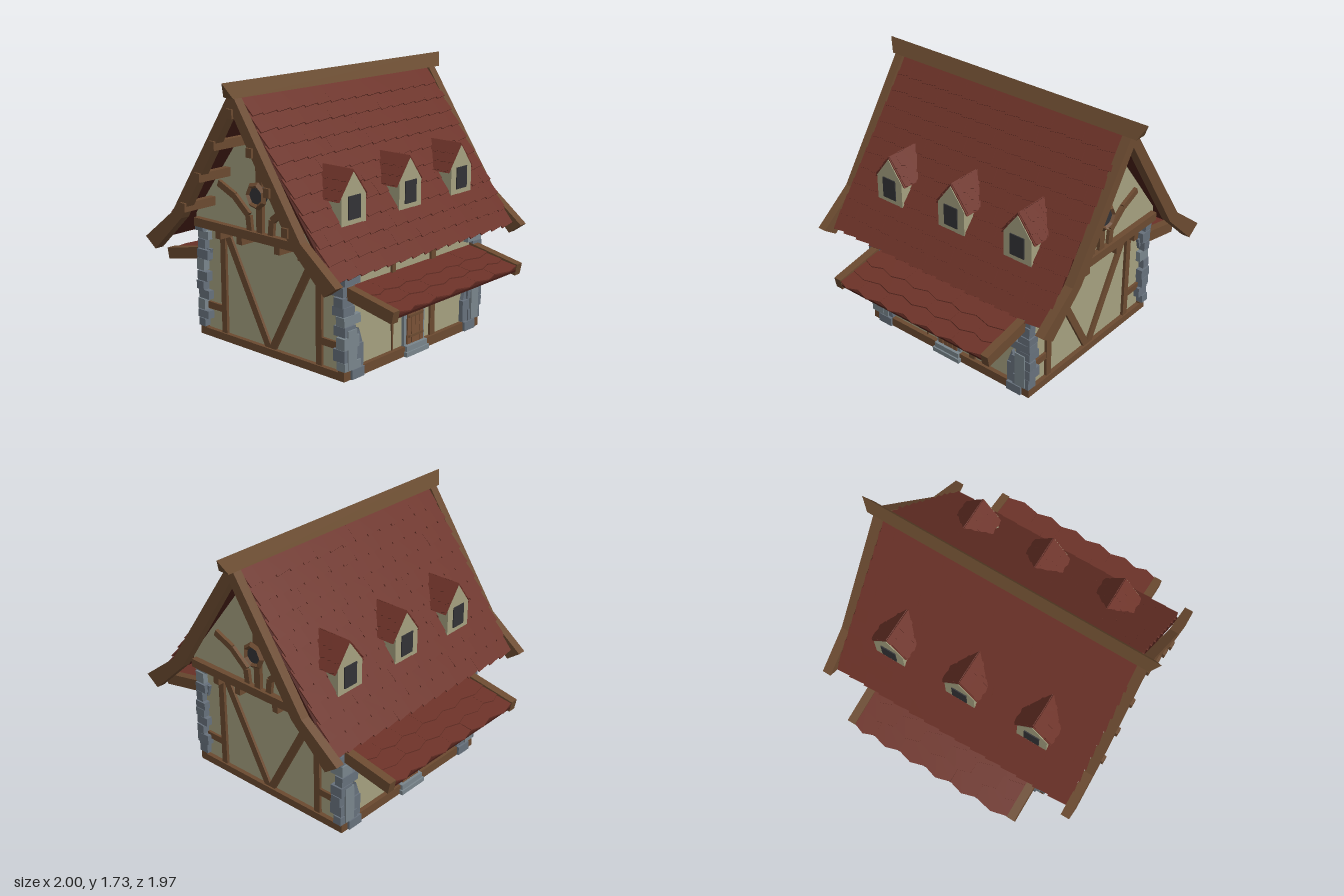
import * as THREE from 'three';
import { mergeGeometries } from 'three/addons/utils/BufferGeometryUtils.js';

const mat = (color) => new THREE.MeshStandardMaterial({ color, flatShading: true, side: THREE.DoubleSide });
const PLASTER = mat(0xa5a180), TIMBER = mat(0x6b4a30), RIDGE = mat(0x6b4c30), TILE = mat(0x6c3228),
  UNDER = mat(0x4a1f18), STONE = mat(0x67717c), STONE_LIGHT = mat(0x79858c), GLASS = mat(0x333336), PLANK = mat(0x7a5236);

let seed = 7;
const rnd = () => (seed = (seed * 16807) % 2147483647) / 2147483647;

function add(parent, name, geo, material, x = 0, y = 0, z = 0) {
  const m = new THREE.Mesh(geo, material);
  m.name = name;
  m.position.set(x, y, z);
  parent.add(m);
  return m;
}
const box = (parent, name, material, w, h, d, x, y, z) =>
  add(parent, name, new THREE.BoxGeometry(w, h, d), material, x, y, z);

const shapeOf = (pts) => new THREE.Shape(pts.map(([x, y]) => new THREE.Vector2(x, y)));
const extrude = (pts, depth) => new THREE.ExtrudeGeometry(shapeOf(pts), { depth, bevelEnabled: false });
// Adds the mirrored half of a profile that runs from the centre outwards
const mirrored = (pts) => [...pts, ...pts.filter((p) => p[0] > 0).reverse().map(([x, y]) => [-x, y])];
// Profile given in (z, y), extruded along x and centred on x
const alongX = (pts, depth) => extrude(pts, depth).translate(0, 0, -depth / 2).rotateY(-Math.PI / 2);

// Square timber in the gable plane, from (z0, y0) to (z1, y1)
function brace(parent, name, x, thick, wide, z0, y0, z1, y1) {
  const m = box(parent, name, TIMBER, thick, Math.hypot(z1 - z0, y1 - y0), wide, x, (y0 + y1) / 2, (z0 + z1) / 2);
  m.rotation.x = Math.atan2(z1 - z0, y1 - y0);
  return m;
}

// Overlapping rows of tiles hanging down -y from the origin and facing +z
function tileField(width, length, rows, cols, { tilt = 0, tip = 0, thick = 0.008 }) {
  const rowLen = (length - tip) / (rows + 0.25), h = rowLen * 1.25, parts = [];
  for (let r = 0; r < rows; r++) {
    const shift = r % 2 ? 0.22 : -0.22;
    const joint = (c) => ((c > 0 && c < cols ? c + shift : c) / cols - 0.5) * width;
    for (let c = 0; c < cols; c++) {
      const w = joint(c + 1) - joint(c);
      const g = extrude([[-w / 2, 0], [-w / 2, -h], [0, -h - tip], [w / 2, -h], [w / 2, 0]], thick);
      g.rotateX(-thick * 0.9 / rowLen).rotateZ(tilt + (rnd() - 0.5) * 0.03);
      parts.push(g.translate(joint(c) + w / 2, -r * rowLen, rnd() * 0.002));
    }
  }
  return mergeGeometries(parts);
}

function dormer(parent, x) {
  const g = new THREE.Group();
  g.name = 'dormer';
  g.position.x = x;
  parent.add(g);
  add(g, 'dormerWall', extrude([[-0.105, 0.895], [0.105, 0.895], [0.105, 1.08], [0, 1.22], [-0.105, 1.08]], 0.255), PLASTER, 0, 0, 0.305);
  box(g, 'dormerWindow', GLASS, 0.105, 0.14, 0.012, 0, 1.015, 0.561);
  add(g, 'dormerRoof', extrude(mirrored([[0, 1.232], [0.128, 1.06], [0.118, 1.06], [0, 1.218]]), 0.25), TILE, 0, 0, 0.305);
  for (const s of [-1, 1]) {
    const t = add(g, 'dormerTiles', tileField(0.24, 0.215, 3, 4, { tip: 0.012, thick: 0.004 }), TILE, 0, 1.233, 0.43);
    t.rotation.set(Math.atan2(-0.13, 0.172), s * Math.PI / 2, 0, 'YXZ');
  }
}

// One long side of the house, facing +z; dir keeps the small x offsets the same on both sides
function longSide(dir) {
  const g = new THREE.Group();
  g.name = 'longSide';
  box(g, 'longWall', PLASTER, 1.26, 0.8, 0.02, 0, 0.4, 0.58);
  box(g, 'sill', TIMBER, 1.32, 0.06, 0.05, 0, 0.03, 0.595);
  box(g, 'rail', TIMBER, 1.2, 0.035, 0.05, 0, 0.477, 0.59);
  box(g, 'post', TIMBER, 0.045, 0.7, 0.05, 0.19, 0.4, 0.58);
  box(g, 'post', TIMBER, 0.035, 0.25, 0.05, -0.195, 0.61, 0.58);
  add(g, 'taperedPost', extrude([[-0.21, 0.47], [-0.185, 0.47], [-0.193, 0.06], [-0.2, 0.06]], 0.05), TIMBER, 0, 0, 0.55);

  // Door with arched planks, hinges and steps
  box(g, 'doorFrame', STONE_LIGHT, 0.2, 0.275, 0.06, 0, 0.197, 0.58);
  for (let i = 0; i < 4; i++) {
    const h = 0.21 + (i === 1 || i === 2 ? 0.035 : 0);
    box(g, 'doorPlank', PLANK, 0.035, h, 0.015, (i - 1.5) * 0.039, 0.07 + h / 2, 0.613).rotation.z = (rnd() - 0.5) * 0.05;
  }
  for (const y of [0.12, 0.25]) box(g, 'doorHinge', TIMBER, 0.14, 0.016, 0.01, 0, y, 0.623);
  box(g, 'upperStep', STONE_LIGHT, 0.2, 0.065, 0.06, 0, 0.0325, 0.605);
  box(g, 'lowerStep', STONE_LIGHT, 0.22, 0.03, 0.08, 0, 0.015, 0.605);

  // Awning over the door, running a little way indoors
  const lean = Math.atan2(-0.385, 0.08);
  box(g, 'awningBoard', UNDER, 1.17, 0.48, 0.015, 0, 0.51, 0.72).rotation.x = lean;
  add(g, 'awningTiles', tileField(1.17, 0.4, 3, 6, { tip: 0.028 }), TILE, 0, 0.553, 0.59).rotation.x = lean;
  for (const s of [-1, 1]) brace(g, 'awningBracket', s * 0.607, 0.055, 0.075, 0.59, 0.54, 0.957, 0.466);

  // Main roof slope
  const slope = Math.atan2(-0.735, 0.97);
  box(g, 'roofBoard', UNDER, 1.72, 1.18, 0.015, -0.01 * dir, 1.148, 0.35).rotation.x = slope;
  add(g, 'roofTiles', tileField(1.72, 1.21, 11, 15, { tilt: 0.12 }), TILE, -0.01 * dir, 1.632, 0).rotation.x = slope;
  for (const x of [-0.515, 0, 0.515]) dormer(g, x + 0.005 * dir);
  return g;
}

// One gable end, at the side given by s
function gable(s) {
  const g = new THREE.Group();
  g.name = 'gable';
  const low = s * 0.625, up = s * 0.705;
  box(g, 'lowerGableWall', PLASTER, 0.02, 0.76, 1.16, s * 0.62, 0.38, 0);
  add(g, 'upperGableWall', alongX(mirrored([[0, 1.59], [0.59, 0.82], [0.59, 0.76]]), 0.02), PLASTER, s * 0.69);
  box(g, 'gableSill', TIMBER, 0.05, 0.05, 1.22, s * 0.635, 0.025, 0);
  box(g, 'gableBeam', TIMBER, 0.07, 0.055, 1.14, up, 0.772, 0);
  box(g, 'kingPost', TIMBER, 0.04, 0.76, 0.05, up, 1.17, 0);
  for (const t of [-1, 1]) {
    box(g, 'gablePost', TIMBER, 0.05, 0.7, 0.045, low, 0.4, t * 0.408);
    box(g, 'shortRail', TIMBER, 0.045, 0.045, 0.14, low, 0.205, t * 0.49);
    brace(g, 'diagonalBrace', low, 0.045, 0.05, t * 0.01, 0.04, t * 0.38, 0.72);
    const curve = [[0.36, 1.05], [0.22, 0.99], [0.1, 0.89], [0.088, 0.79]];
    for (let i = 0; i < 3; i++) {
      brace(g, 'curvedBrace', up, 0.035, 0.042, t * curve[i][0], curve[i][1], t * curve[i + 1][0], curve[i + 1][1]);
    }
    for (const z of [0.35, 0.16]) box(g, 'corbel', TIMBER, 0.14, 0.045, 0.045, s * 0.67, 0.722, t * z);
  }
  // Small attic window in a heavy frame
  add(g, 'atticWindowFrame', new THREE.TorusGeometry(0.068, 0.02, 4, 7).rotateY(Math.PI / 2), TIMBER, s * 0.745, 1.03, 0);
  add(g, 'atticWindowGlass', new THREE.CylinderGeometry(0.055, 0.06, 0.05, 6).rotateZ(-s * Math.PI / 2), GLASS, s * 0.725, 1.03, 0);
  // Barge boards with a flared foot
  const chevron = mirrored([[0, 1.68], [0.54, 0.88], [0.805, 0.675], [0.715, 0.61], [0.46, 0.85], [0, 1.56]]);
  add(g, 'bargeBoards', alongX(chevron, 0.06), TIMBER, s > 0 ? 0.88 : -0.905);
  return g;
}

// Rough stone quoins at one corner
function quoins(sx, sz) {
  const g = new THREE.Group();
  g.name = 'cornerStones';
  let y = 0.06;
  for (let i = 0; y < 0.72; i++) {
    const h = 0.05 + rnd() * 0.03, w = (i % 2 ? 0.08 : 0.12) + rnd() * 0.03, d = (i % 2 ? 0.08 : 0.055) + rnd() * 0.02;
    const m = box(g, 'cornerStone', rnd() > 0.7 ? STONE_LIGHT : STONE, w, h - 0.004, d,
      sx * (0.66 + rnd() * 0.02 - w / 2), y + h / 2, sz * (0.62 + rnd() * 0.012 - d / 2));
    m.rotation.z = (rnd() - 0.5) * 0.08;
    y += h;
  }
  box(g, 'footStone', STONE, 0.11, 0.06, 0.05, sx * 0.55, 0.032, sz * 0.61);
  box(g, 'tallStone', STONE_LIGHT, 0.075, 0.24, 0.05, sx * 0.6, 0.19, sz * 0.61);
  box(g, 'lowStone', STONE, 0.07, 0.14, 0.04, sx * 0.525, 0.135, sz * 0.6);
  add(g, 'wedgeStone', extrude([[-0.03, 0], [0.03, 0], [0, 0.09]], 0.03), STONE, sx * 0.525, 0.21, sz * 0.6 - 0.015);
  add(g, 'sideWedgeStone', alongX([[-0.022, 0.08], [0, 0], [0.022, 0.08]], 0.03), STONE, sx * 0.635, 0.5, sz * 0.54);
  return g;
}

export function createModel() {
  seed = 7;
  const house = new THREE.Group();
  house.name = 'house';
  const front = longSide(1), back = longSide(-1);
  back.rotation.y = Math.PI;
  house.add(front, back);
  for (const s of [-1, 1]) {
    house.add(gable(s));
    for (const t of [-1, 1]) house.add(quoins(s, t));
  }
  box(house, 'atticFloor', PLASTER, 1.4, 0.02, 1.16, 0, 0.755, 0);

  // Purlins, whose ends show under one end of the roof
  for (const [z, y] of [[0, 1.545], [0.155, 1.34], [0.29, 1.13], [0.43, 0.925]]) {
    for (const t of z ? [-1, 1] : [1]) box(house, 'purlin', TIMBER, 1.6, 0.055, 0.045, -0.15, y, t * z);
  }

  // Ridge beam with pointed ends
  const ridge = alongX([[-0.04, 1.635], [0.04, 1.635], [0, 1.725]], 1.9);
  const p = ridge.attributes.position;
  for (let i = 0; i < p.count; i++) if (p.getY(i) > 1.7) p.setX(i, p.getX(i) * 1.052);
  ridge.computeVertexNormals();
  add(house, 'ridgeBeam', ridge, RIDGE);
  return house;
}
